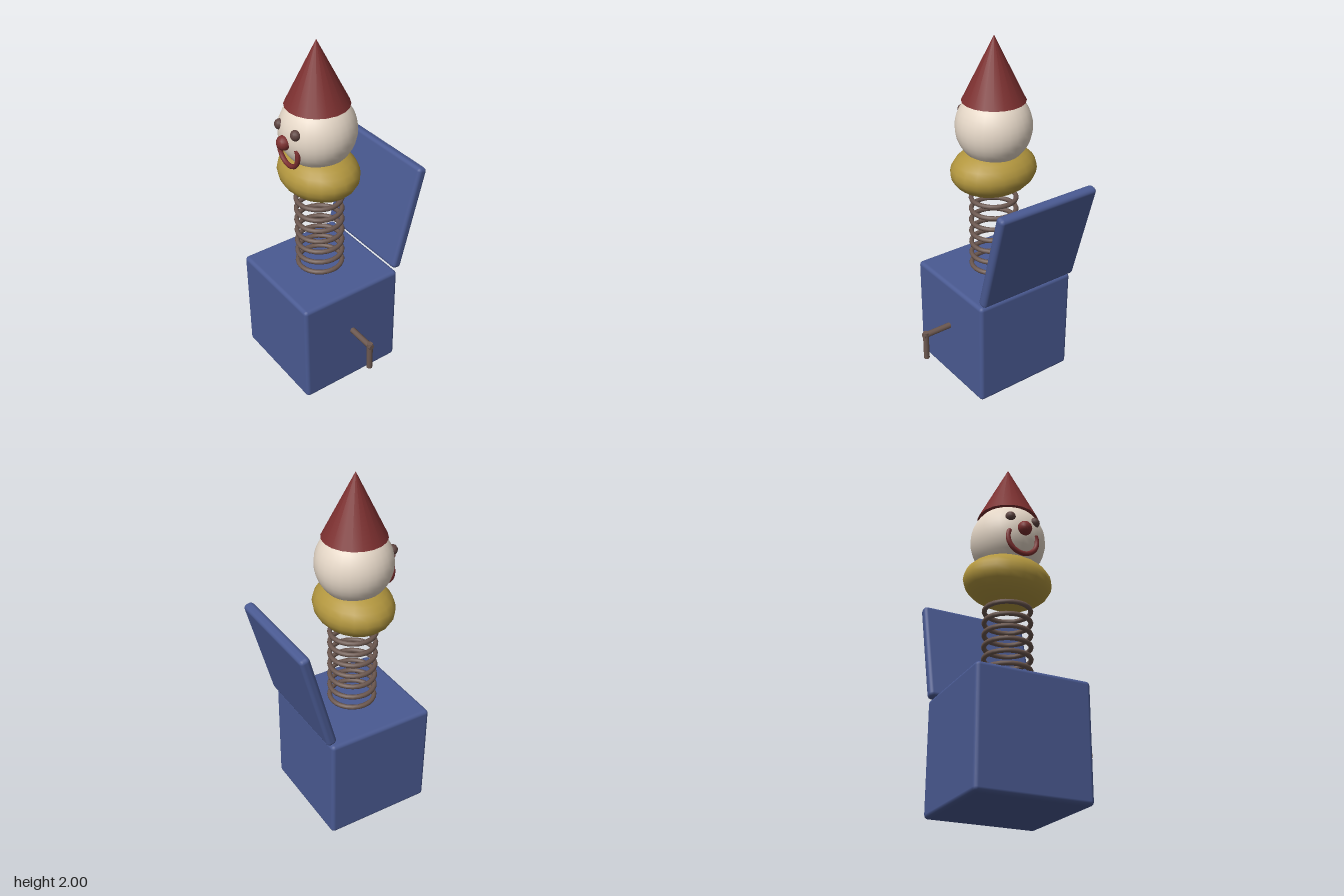
import * as THREE from 'three';
import { RoundedBoxGeometry } from 'three/addons/geometries/RoundedBoxGeometry.js';

const material = (name, color) => {
  const m = new THREE.MeshStandardMaterial({ color });
  m.name = name;
  return m;
};

export function createModel() {
  const blue = material('blue paint', 0x4a5a92);
  const red = material('red paint', 0x7d3030);
  const cream = material('cream skin', 0xe6d8c8);
  const yellow = material('mustard cloth', 0xb3973f);
  const metal = material('brown metal', 0x6c5850);
  const dark = material('dark brown', 0x5e4440);

  const model = new THREE.Group();
  model.name = 'jackInTheBox';
  const toy = new THREE.Group(); // everything shares the axis of the box
  toy.name = 'toy';
  toy.position.set(-0.09, 0, 0.09);
  model.add(toy);

  const add = (name, geometry, mat, x, y, z) => {
    const mesh = new THREE.Mesh(geometry, mat);
    mesh.name = name;
    mesh.position.set(x, y, z);
    toy.add(mesh);
    return mesh;
  };

  // Box and open lid leaning back
  add('box', new RoundedBoxGeometry(0.625, 0.63, 0.625, 2, 0.022), blue, 0, 0.315, 0);
  const lid = add('lid', new RoundedBoxGeometry(0.625, 0.622, 0.058, 2, 0.022), blue, 0, 0.95, -0.387);
  lid.rotation.x = -THREE.MathUtils.degToRad(15);

  // Crank on the side
  const arm = add('crankArm', new THREE.CylinderGeometry(0.017, 0.017, 0.2, 10), metal, 0.39, 0.353, 0);
  arm.rotation.z = Math.PI / 2;
  add('crankHandle', new THREE.CylinderGeometry(0.017, 0.017, 0.175, 10), metal, 0.473, 0.283, 0);

  // Spring of stacked rings
  const ring = new THREE.TorusGeometry(0.125, 0.0135, 8, 24).rotateX(Math.PI / 2);
  for (let i = 0; i < 7; i++) add('springRing' + (i + 1), ring, metal, 0, 0.667 + i * 0.07, 0);

  // Ruff, head and hat
  const ruff = add('ruff', new THREE.SphereGeometry(1, 20, 14), yellow, 0, 1.26, 0);
  ruff.scale.set(0.25, 0.14, 0.208);
  add('head', new THREE.SphereGeometry(0.208, 28, 20), cream, 0, 1.51, 0);
  add('hat', new THREE.ConeGeometry(0.172, 0.345, 20), red, 0, 1.8275, 0);

  // Face
  for (const side of [-1, 1]) {
    add(side > 0 ? 'leftEye' : 'rightEye', new THREE.SphereGeometry(0.029, 12, 10), dark,
      side * 0.073, 1.562, 0.182);
  }
  add('nose', new THREE.SphereGeometry(0.04, 14, 10), red, 0, 1.495, 0.208);

  // Smile: an arc open at the top
  const arc = Math.PI * 1.3;
  const smile = add('smile', new THREE.TorusGeometry(0.086, 0.0135, 8, 24, arc), red, 0, 1.44, 0.182);
  smile.rotation.z = -Math.PI / 2 - arc / 2;

  return model;
}
